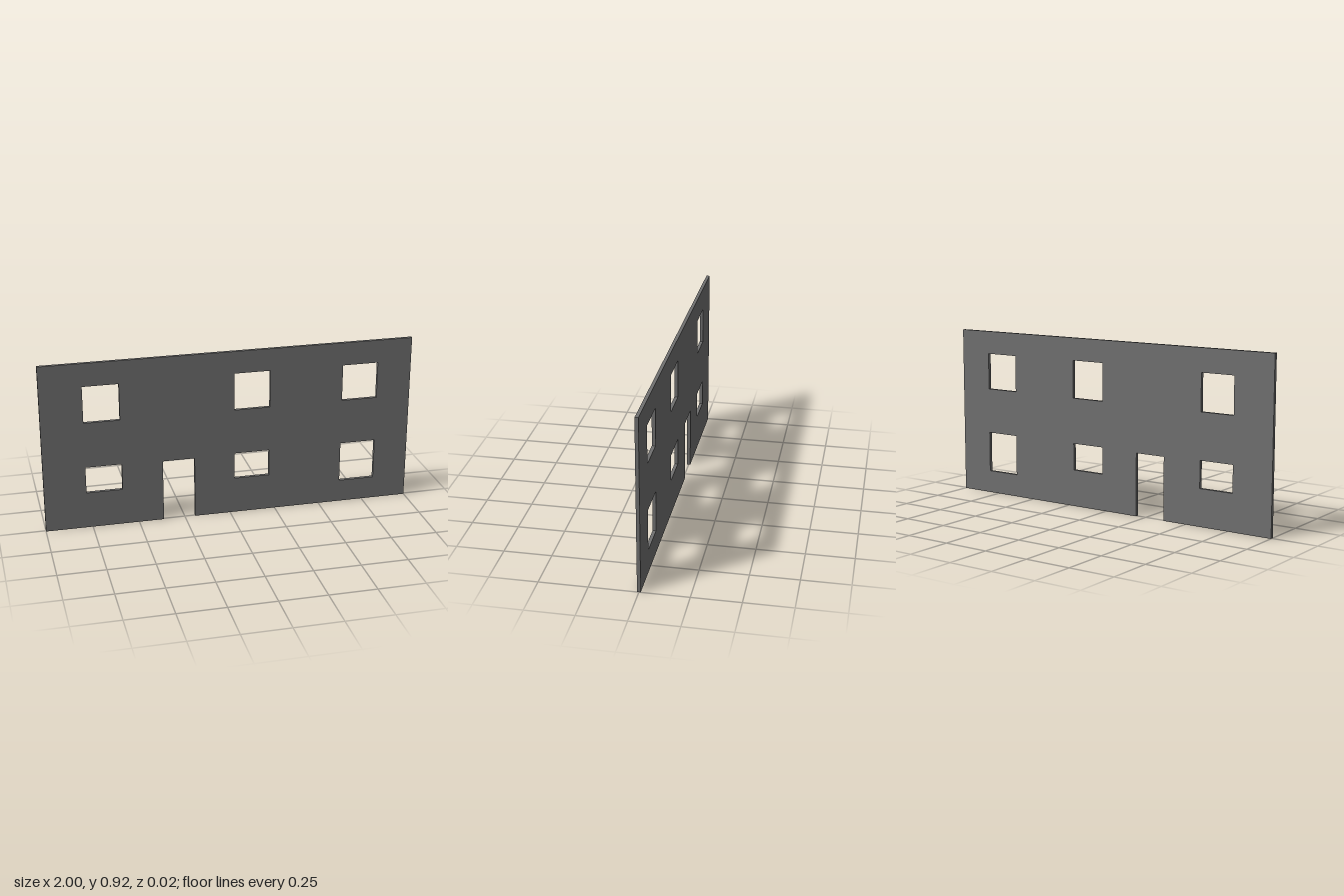
import * as THREE from 'three';

const HEIGHT = 0.922;
const THICKNESS = 0.018;

// Window openings: left, right, bottom, top
const WINDOWS = [
  [-0.777, -0.587, 0.596, 0.796],
  [0.023, 0.218, 0.595, 0.8],
  [0.618, 0.813, 0.596, 0.796],
  [-0.777, -0.585, 0.2, 0.346],
  [0.023, 0.216, 0.2, 0.346],
  [0.618, 0.813, 0.124, 0.346],
];
const DOOR = { left: -0.366, right: -0.194, top: 0.34 };

function windowHole([left, right, bottom, top]) {
  return new THREE.Path([
    new THREE.Vector2(left, bottom),
    new THREE.Vector2(left, top),
    new THREE.Vector2(right, top),
    new THREE.Vector2(right, bottom),
  ]);
}

export function createModel() {
  const model = new THREE.Group();
  model.name = 'houseFacade';

  // Wall outline with the doorway notched out of its lower edge
  const outline = new THREE.Shape([
    [-1, 0], [DOOR.left, 0], [DOOR.left, DOOR.top], [DOOR.right, DOOR.top],
    [DOOR.right, 0], [1, 0], [1, HEIGHT], [-1, HEIGHT],
  ].map(([x, y]) => new THREE.Vector2(x, y)));
  outline.holes = WINDOWS.map(windowHole);

  // Thin flat slab centred on z = 0
  const geometry = new THREE.ExtrudeGeometry(outline, { depth: THICKNESS, bevelEnabled: false });
  geometry.translate(0, 0, -THICKNESS / 2);

  // Dark grey wall
  const wall = new THREE.Mesh(geometry, new THREE.MeshStandardMaterial({ color: 0x707070 }));
  wall.name = 'wall';
  model.add(wall);
  return model;
}
